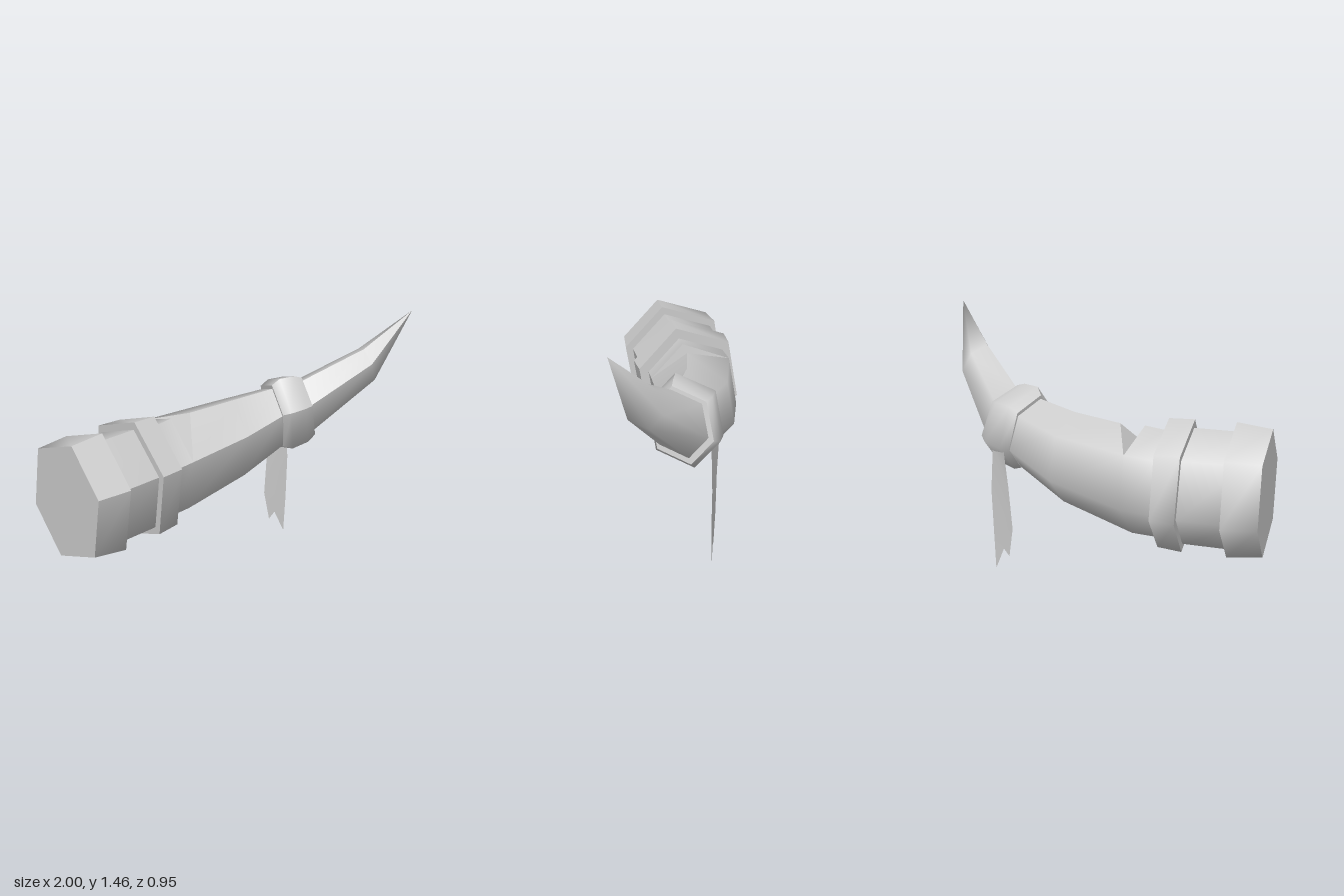
import * as THREE from 'three';
import { mergeVertices, mergeGeometries } from 'three/addons/utils/BufferGeometryUtils.js';

const grey = new THREE.MeshStandardMaterial({ color: 0xcccccc, side: THREE.DoubleSide });

// Six-sided cross-section as [y, z] offsets: top, round the front, to the back
const HEX = [[0.36, 0.08], [0.11, 0.31], [-0.25, 0.25], [-0.36, -0.08], [-0.11, -0.31], [0.25, -0.25]];

// A section at (x, y, z): size s, leaning by a along z and b along y, z squeezed by k
function section([x, y, z, s, a = 0, b = 0, k = 1]) {
  return HEX.map(([dy, dz]) => {
    const oy = dy * s, oz = dz * s * k;
    return new THREE.Vector3(x - a * oz - b * oy, y + oy, z + oz);
  });
}

function triangles(points) {
  return new THREE.BufferGeometry().setFromPoints(points);
}

// Skin the sections; the upper front panel keeps hard edges, the rest is smooth
function loft(rings, notchAt = -1) {
  const parts = [[1, 2, 3, 4, 5, 0], [0, 1]].map((strip) => {
    const pts = [];
    for (let i = 0; i < rings.length - 1; i++) {
      for (let j = 0; j < strip.length - 1; j++) {
        const p = strip[j], q = strip[j + 1];
        if (i === notchAt && (p === 0 || q === 0)) continue;
        const [r, t] = [rings[i], rings[i + 1]];
        pts.push(r[p], r[q], t[p], r[q], t[q], t[p]);
      }
    }
    const g = mergeVertices(triangles(pts));
    g.computeVertexNormals();
    return g.toNonIndexed();
  });
  return mergeGeometries(parts);
}

// Flat hexagonal end
function cap(ring, flip) {
  const pts = [];
  for (let k = 1; k < 5; k++) {
    pts.push(ring[0], ring[flip ? k + 1 : k], ring[flip ? k : k + 1]);
  }
  const g = triangles(pts);
  g.computeVertexNormals();
  return g;
}

export function createModel() {
  const model = new THREE.Group();
  const add = (name, geometry) => {
    const mesh = new THREE.Mesh(geometry, grey);
    mesh.name = name;
    model.add(mesh);
  };

  // Curved horn, with a notch cut across its top ridge
  const rings = [
    [-0.9, 0.67, -0.16, 0.87],
    [-0.57, 0.675, -0.175, 0.865],
    [-0.43, 0.675, -0.185, 0.8],
    [-0.285, 0.687, -0.185, 0.81, 0.1],
    [-0.285, 0.687, -0.185, 0.81, 0.1],
    [0.125, 0.752, -0.12, 0.69, 0.22, 0.03, 0.96],
    [0.4, 0.845, -0.025, 0.53, 0.48, 0.2, 0.9],
    [0.56, 0.885, 0.045, 0.48, 0.48, 0.23, 0.9],
    [0.835, 1.14, 0.285, 0.3, 0.5, 0.4],
    [0.995, 1.47, 0.47, 0.0001],
  ].map(section);
  rings[3][0].x = -0.31;
  rings[4][0].x = -0.17;
  add('horn', loft(rings, 3));

  // Two flat faces of the notch
  const front = rings[3][1], back = rings[3][5];
  const notch = triangles([rings[3][0], front, back, rings[4][0], back, front]);
  notch.computeVertexNormals();
  add('notch', notch);

  // Raised bands
  const bands = {
    baseBand: [[-1, 0.673, -0.157, 0.94], [-0.805, 0.672, -0.16, 1]],
    middleBand: [[-0.57, 0.675, -0.175, 0.99, 0, 0.03], [-0.432, 0.68, -0.18, 0.965, 0, 0.02]],
    tipBand: [
      [0.385, 0.848, -0.03, 0.58, 0.4, 0.15, 0.9],
      [0.425, 0.858, -0.005, 0.66, 0.45, 0.15, 0.9],
      [0.525, 0.872, 0.025, 0.63, 0.48, 0.2, 0.9],
      [0.57, 0.885, 0.045, 0.55, 0.48, 0.23, 0.9],
    ],
  };
  for (const [name, specs] of Object.entries(bands)) {
    const r = specs.map(section);
    add(name, mergeGeometries([loft(r), cap(r[0], true), cap(r[r.length - 1], false)]));
  }

  // Hanging ribbon: left and right edges downward, ending in a forked tail
  const left = [[0.5, 0.76, -0.17], [0.48, 0.55, -0.165], [0.46, 0.29, -0.165], [0.49, 0.11, -0.15]];
  const right = [[0.59, 0.77, -0.11], [0.605, 0.5, -0.115], [0.597, 0.25, -0.115], [0.587, 0.01, -0.12]];
  const v = (p) => new THREE.Vector3(...p);
  const fork = v([0.527, 0.15, -0.14]);
  const cloth = [];
  for (let i = 0; i < 2; i++) {
    const [a, b, c, d] = [left[i], right[i], left[i + 1], right[i + 1]].map(v);
    cloth.push(a, c, b, b, c, d);
  }
  cloth.push(v(left[2]), v(left[3]), fork, v(left[2]), fork, v(right[2]), v(right[2]), fork, v(right[3]));
  const ribbon = mergeVertices(triangles(cloth));
  ribbon.computeVertexNormals();
  add('ribbon', ribbon);

  return model;
}
